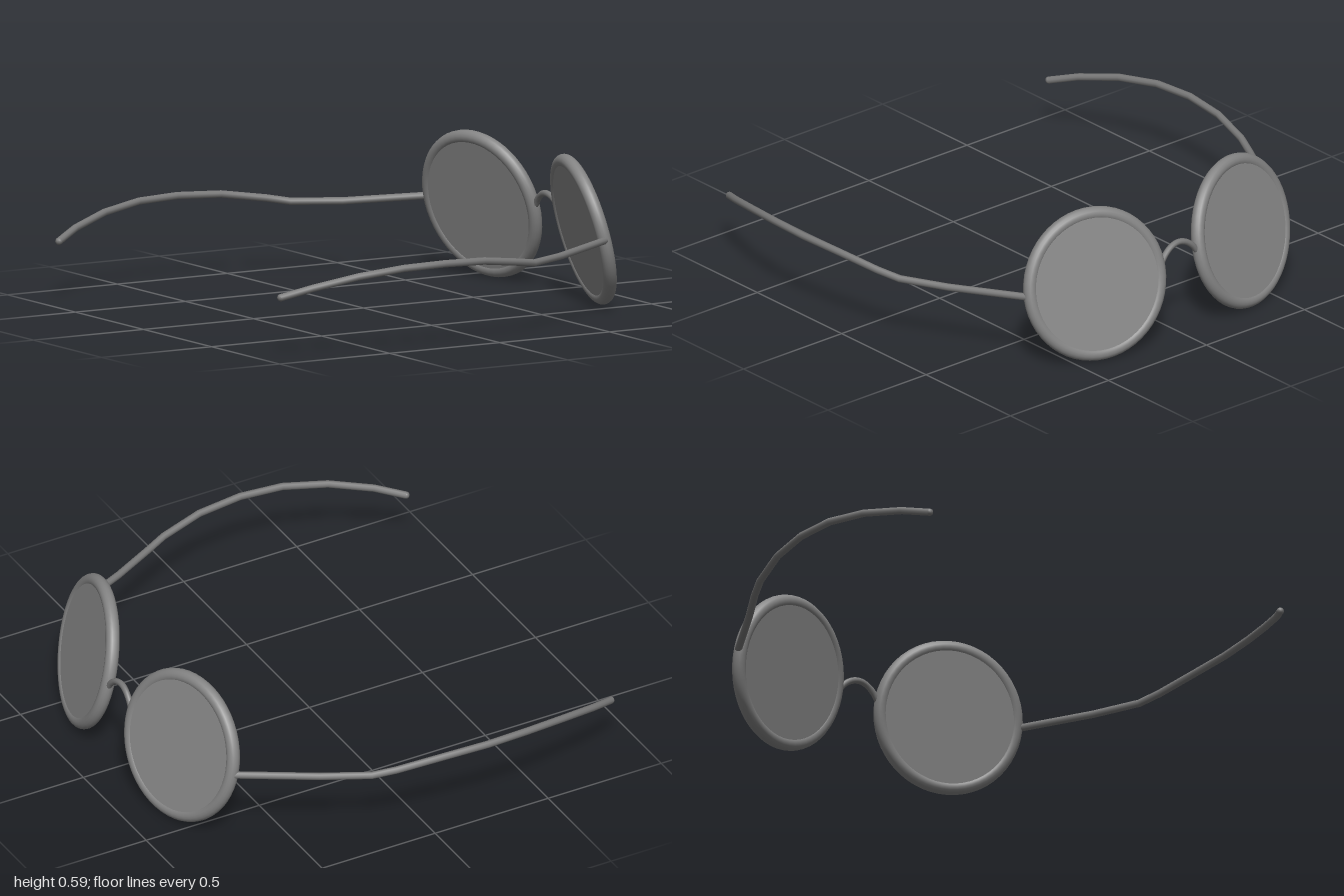
import * as THREE from 'three';

const frameMat = new THREE.MeshStandardMaterial({ color: 0x848484 });
const wireMat = new THREE.MeshStandardMaterial({ color: 0x787878 });
const lensMat = new THREE.MeshStandardMaterial({ color: 0x888888 });

// Round wire through the given points, with a set number of straight steps per span and rounded ends
function wire(name, points, radius, stepsPerSpan) {
  const pts = points.map(p => new THREE.Vector3(...p));
  const group = new THREE.Group();
  group.name = name;
  const curve = new THREE.CatmullRomCurve3(pts);
  curve.getUtoTmapping = u => u; // bends fall exactly on the points
  const segments = (pts.length - 1) * stepsPerSpan;
  group.add(new THREE.Mesh(new THREE.TubeGeometry(curve, segments, radius, 10), wireMat));
  for (const p of [pts[0], pts[pts.length - 1]]) {
    const cap = new THREE.Mesh(new THREE.SphereGeometry(radius, 10, 8), wireMat);
    cap.position.copy(p);
    group.add(cap);
  }
  group.children.forEach(m => { m.name = name; });
  return group;
}

// Round rim with a slightly recessed flat lens, tilted back and wrapped outwards
function eyepiece(side, label) {
  const group = new THREE.Group();
  group.name = label + 'Eyepiece';
  const rim = new THREE.Mesh(new THREE.TorusGeometry(0.276, 0.027, 16, 56), frameMat);
  rim.name = label + 'Rim';
  const lens = new THREE.Mesh(
    new THREE.CylinderGeometry(0.27, 0.27, 0.044, 56).rotateX(Math.PI / 2), lensMat);
  lens.name = label + 'Lens';
  group.add(rim, lens);
  const normal = new THREE.Vector3(1, 0.255, 0.265 * side).normalize();
  group.quaternion.setFromUnitVectors(new THREE.Vector3(0, 0, 1), normal);
  group.position.set(0.77, 0.3, 0.372 * side);
  return group;
}

// Temple arm from the rim to the tip behind the ear
const templePath = [
  [0.7, 0.3, 0.65], [0.4, 0.283, 0.8], [0.22, 0.284, 0.893], [0.13, 0.3, 0.928],
  [-0.05, 0.325, 0.968], [-0.24, 0.332, 0.985], [-0.42, 0.327, 0.973],
  [-0.6, 0.304, 0.933], [-0.77, 0.265, 0.872], [-0.88, 0.23, 0.815],
];

export function createModel() {
  const model = new THREE.Group();
  model.name = 'glasses';

  for (const [side, label] of [[1, 'left'], [-1, 'right']]) {
    model.add(eyepiece(side, label));
    model.add(wire(label + 'Temple', templePath.map(([x, y, z]) => [x, y, z * side]), 0.0145, 1));
  }

  // Arched nose bridge
  const half = [[0.838, 0.325, 0.09], [0.836, 0.352, 0.07], [0.833, 0.376, 0.038]];
  const bridge = [
    ...half,
    [0.831, 0.385, 0],
    ...half.map(([x, y, z]) => [x, y, -z]).reverse(),
  ];
  model.add(wire('bridge', bridge, 0.0125, 3));

  return model;
}
